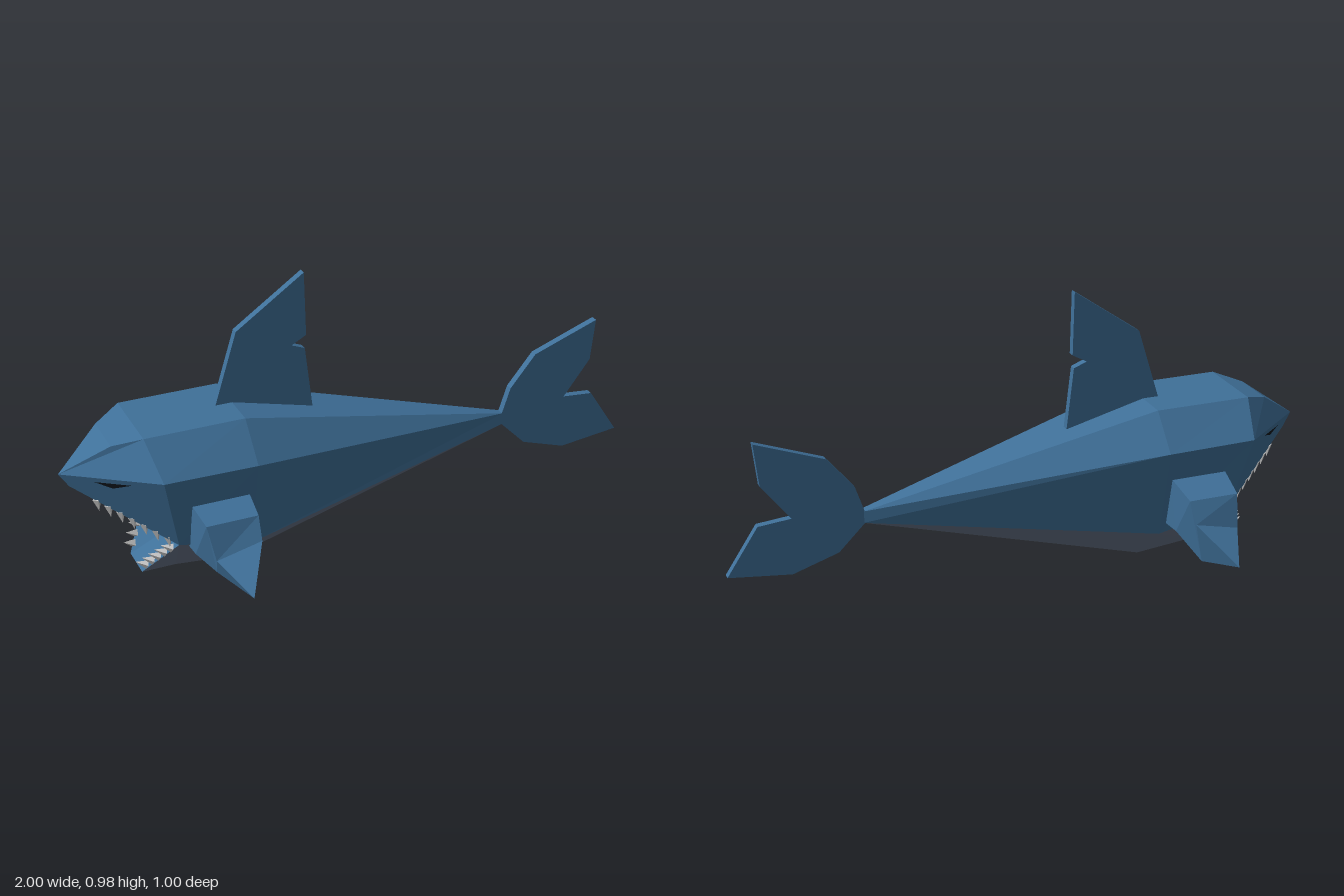
import * as THREE from 'three';

const material = (color, side = THREE.FrontSide) =>
  new THREE.MeshStandardMaterial({ color, flatShading: true, side });
const BLUE = material(0x3f7099);
const BELLY = material(0x687489);
const DARK = material(0x10161c, THREE.DoubleSide);
const TOOTH = material(0xcccccc);

const mirror = ([x, y, z]) => [x, y, -z];
const mid = ([x, y]) => [x, y, 0];

// Facets given for the +z half, fanned into triangles; optionally mirrored to -z
function facets(name, faces, mat, both = true) {
  const all = both ? [...faces, ...faces.map(f => f.map(mirror).reverse())] : faces;
  const pos = [];
  for (const f of all) {
    for (let i = 1; i < f.length - 1; i++) pos.push(...f[0], ...f[i], ...f[i + 1]);
  }
  const geo = new THREE.BufferGeometry();
  geo.setAttribute('position', new THREE.Float32BufferAttribute(pos, 3));
  geo.computeVertexNormals();
  const mesh = new THREE.Mesh(geo, mat);
  mesh.name = name;
  return mesh;
}

// Flat fin cut from an outline in the x-y plane
function plateFin(name, outline) {
  const shape = new THREE.Shape(outline.map(([x, y]) => new THREE.Vector2(x, y)));
  const geo = new THREE.ExtrudeGeometry(shape, { depth: 0.025, bevelEnabled: false });
  geo.translate(0, 0, -0.0125);
  const mesh = new THREE.Mesh(geo, BLUE);
  mesh.name = name;
  return mesh;
}

// Row of small pointed teeth from a to b, pointing along dir
function toothRow(name, a, b, count, dir, height) {
  const row = new THREE.Group();
  row.name = name;
  const from = new THREE.Vector3(...a), to = new THREE.Vector3(...b);
  const d = new THREE.Vector3(...dir).normalize();
  const geo = new THREE.ConeGeometry(0.015, height, 4).translate(0, height * 0.4, 0);
  for (let i = 0; i < count; i++) {
    const tooth = new THREE.Mesh(geo, TOOTH);
    tooth.name = 'tooth';
    tooth.position.lerpVectors(from, to, (i + 0.5) / count);
    tooth.quaternion.setFromUnitVectors(new THREE.Vector3(0, 1, 0), d);
    row.add(tooth);
  }
  return row;
}

// Side fin lofted through four-cornered sections to a tip
function sideFin(name, s) {
  const sections = [
    [[-0.645, 0.365, 0.19], [-0.45, 0.365, 0.19], [-0.45, 0.19, 0.15], [-0.645, 0.19, 0.15]],
    [[-0.63, 0.333, 0.315], [-0.46, 0.333, 0.315], [-0.455, 0.19, 0.23], [-0.64, 0.19, 0.23]],
    [[-0.615, 0.23, 0.355], [-0.465, 0.265, 0.355], [-0.5, 0.12, 0.335], [-0.6, 0.16, 0.31]],
  ];
  const tip = [-0.55, 0.165, 0.5];
  const faces = [];
  for (let i = 0; i < 4; i++) {
    const j = (i + 1) % 4;
    for (let k = 0; k < 2; k++) {
      faces.push([sections[k][j], sections[k][i], sections[k + 1][i], sections[k + 1][j]]);
    }
    faces.push([sections[2][j], sections[2][i], tip]);
  }
  const oriented = s > 0 ? faces : faces.map(f => f.map(mirror).reverse());
  return facets(name, oriented, BLUE, false);
}

export function createModel() {
  const shark = new THREE.Group();
  shark.name = 'shark';
  const trunk = new THREE.Group();
  trunk.name = 'trunk';
  trunk.position.z = 0.012;
  shark.add(trunk);

  // Key corners of the half body
  const nose = [-1, 0.445, 0], lip = [-0.97, 0.4, 0.007], brow = [-0.85, 0.55, 0.08];
  const headTop = [-0.76, 0.58, 0.13], cheek = [-0.735, 0.47, 0.235];
  const mouthCorner = [-0.68, 0.21, 0.178], throat = [-0.56, 0.21, 0];
  const backTop = [-0.43, 0.58, 0.13], flank = [-0.43, 0.465, 0.235];
  const lowFlank = [-0.43, 0.15, 0.165], keel = [-0.43, 0.005, 0];
  const jawKeel = [-0.64, 0.025, 0], chin = [-0.77, 0.065, 0.06];
  const tailTop = [0.545, 0.33, 0.012], tailLow = [0.545, 0.29, 0.012];

  trunk.add(facets('body', [
    [nose, brow, mid(brow)],
    [brow, headTop, mid(headTop), mid(brow)],
    [headTop, backTop, mid(backTop), mid(headTop)],
    [backTop, tailTop, mid(tailTop), mid(backTop)],
    [nose, cheek, headTop, brow],
    [cheek, flank, backTop, headTop],
    [flank, tailTop, backTop],
    [nose, lip, mouthCorner, cheek],
    [nose, mid(lip), lip],
    [mouthCorner, lowFlank, flank, cheek],
    [lowFlank, tailLow, tailTop, flank],
  ], BLUE));

  trunk.add(facets('belly', [
    [mouthCorner, chin, jawKeel],
    [mouthCorner, jawKeel, keel, lowFlank],
    [lowFlank, keel, tailLow],
    [keel, mid(tailLow), tailLow],
    [chin, mid(chin), jawKeel],
  ], BELLY));

  trunk.add(facets('mouthLining', [
    [lip, mid(lip), throat],
    [lip, throat, mouthCorner],
    [chin, mouthCorner, throat],
    [chin, throat, mid(chin)],
  ], BLUE));

  // Eyes lie on the slanted snout sides
  const snoutZ = (x, y) => (0.0574 * (x + 1) + 0.0275 * (y - 0.445)) / 0.0676 + 0.004;
  const eye = [[-0.91, 0.438], [-0.86, 0.422], [-0.815, 0.447]].map(([x, y]) => [x, y, snoutZ(x, y)]);
  trunk.add(facets('eyes', [eye], DARK));

  // Teeth
  for (const s of [1, -1]) {
    const side = s > 0 ? 'left' : 'right';
    trunk.add(toothRow(side + 'UpperTeeth', [-0.91, 0.362, s * 0.035], [-0.69, 0.225, s * 0.162],
      7, [0.1, -1, 0], 0.045));
    trunk.add(toothRow(side + 'LowerTeeth', [-0.765, 0.085, s * 0.06], [-0.69, 0.2, s * 0.16],
      5, [-0.9, 0.35, -s * 0.2], 0.04));
    shark.add(sideFin(side + 'SideFin', s));
  }

  // Back fin and tail fin
  trunk.add(plateFin('backFin', [
    [-0.49, 0.55], [-0.485, 0.58], [-0.41, 0.82], [-0.18, 0.98], [-0.175, 0.765],
    [-0.225, 0.738], [-0.18, 0.72], [-0.155, 0.5], [-0.15, 0.47],
  ]));
  trunk.add(plateFin('tailFin', [
    [0.54, 0.29], [0.63, 0.2], [0.785, 0.15], [0.995, 0.175], [0.89, 0.335], [0.78, 0.345],
    [0.875, 0.47], [0.89, 0.615], [0.66, 0.53], [0.57, 0.42], [0.54, 0.33],
  ]));
  return shark;
}
